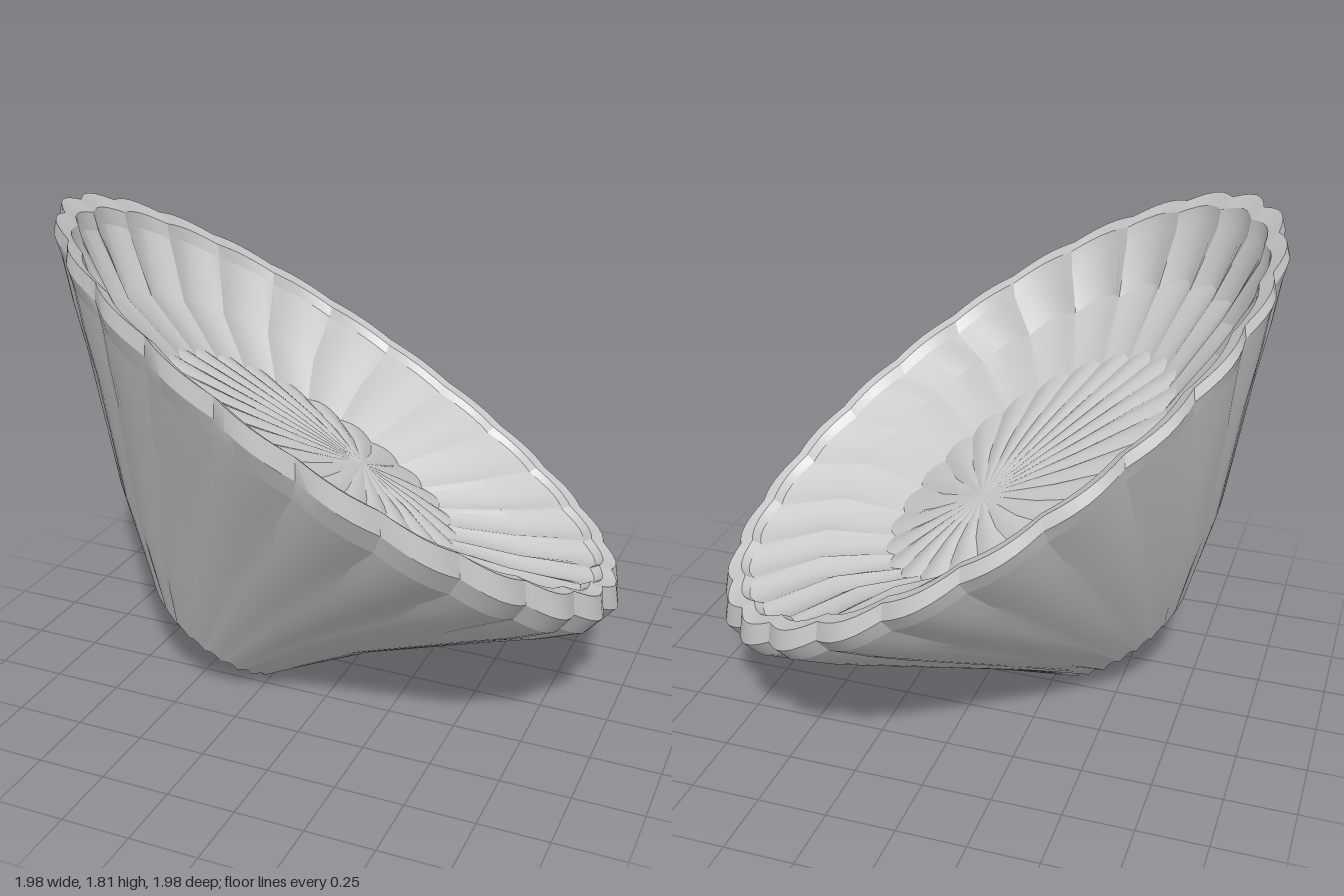
import * as THREE from 'three';
import { toCreasedNormals } from 'three/addons/utils/BufferGeometryUtils.js';

const FLUTES = 24, STEPS = 6, N = FLUTES * STEPS, PHASE = 1.61;

// One tilted ring: plan centre, radius, centre height, slopes in x and z,
// and how strongly the scallops push it outward and upward.
function ringPoint(ring, i) {
  const [cx, cz, r, y, sx, sz, out, up] = ring;
  const t = PHASE + (i % N) * Math.PI * 2 / N;
  const scallop = Math.abs(Math.sin(FLUTES / 2 * (t - PHASE))) - 0.65;
  const rr = r === 0 ? 0 : r + out * scallop;
  const dx = rr * Math.cos(t), dz = rr * Math.sin(t);
  return [cx + dx, y + sx * dx + sz * dz + up * scallop, cz + dz];
}

// Skin a list of rings; rings run so that the outside faces out.
function skin(name, rings, crease) {
  const pos = [], idx = [];
  const W = N + 1;
  rings.forEach(ring => {
    for (let i = 0; i <= N; i++) pos.push(...ringPoint(ring, i));
  });
  for (let j = 0; j < rings.length - 1; j++) {
    for (let i = 0; i < N; i++) {
      const a = j * W + i, b = a + W;
      if (rings[j + 1][2] > 0) idx.push(a, b, b + 1);
      else idx.push(a, b, a + 1);
      if (rings[j][2] > 0 && rings[j + 1][2] > 0) idx.push(a, b + 1, a + 1);
    }
  }
  const geo = new THREE.BufferGeometry();
  geo.setAttribute('position', new THREE.Float32BufferAttribute(pos, 3));
  geo.setIndex(idx);
  const mesh = new THREE.Mesh(
    toCreasedNormals(geo, crease),
    new THREE.MeshStandardMaterial({ color: 0xcccccc, side: THREE.DoubleSide })
  );
  mesh.name = name;
  return mesh;
}

export function createModel() {
  const group = new THREE.Group();
  group.name = 'flutedBowl';

  // rings shared by neighbouring parts
  const foot = [-0.47, 0.18, 0.235, 0.185, -0.74, 0.2, 0.02, 0.03];
  const lipLow = [-0.02, 0, 0.95, 1.01, -0.665, 0.275, 0.025, 0];
  const lipInner = [0, 0.01, 0.925, 1.12, -0.62, 0.29, 0.02, 0];
  const floorEdge = [-0.13, 0.03, 0.51, 0.89, -0.6, 0.3, 0.03, 0.01];

  // crinkled base
  group.add(skin('base', [
    [-0.47, 0.18, 0, 0.18, -0.74, 0.2, 0, 0],
    [-0.47, 0.18, 0.12, 0.18, -0.74, 0.2, 0.01, 0.015],
    foot,
  ], 0.3));

  // flaring outer wall, scallops fading in toward the lip
  group.add(skin('outerWall', [
    foot,
    [-0.33, 0.11, 0.495, 0.48, -0.63, 0.25, 0.004, 0],
    [-0.145, 0.04, 0.765, 0.79, -0.66, 0.27, 0.012, 0],
    [-0.08, 0.02, 0.865, 0.905, -0.665, 0.275, 0.022, 0],
    lipLow,
  ], 0.3));

  // scalloped lip
  group.add(skin('lip', [
    lipLow,
    [0, 0, 0.983, 1.07, -0.64, 0.28, 0.03, 0],
    [0, 0.005, 0.972, 1.135, -0.62, 0.29, 0.025, 0],
    lipInner,
  ], 0.4));

  // inner wall dropping to the floor
  group.add(skin('innerWall', [
    lipInner,
    [-0.01, 0.01, 0.905, 1.08, -0.61, 0.28, 0.025, 0],
    [-0.07, 0.07, 0.735, 0.99, -0.58, 0.28, 0.045, 0],
    floorEdge,
  ], 0.3));

  // ribbed floor
  group.add(skin('floor', [
    floorEdge,
    [-0.06, -0.04, 0.27, 0.845, -0.6, 0.3, 0, 0.012],
    [0, -0.1, 0, 0.8, -0.6, 0.3, 0, 0],
  ], 0.3));

  return group;
}
